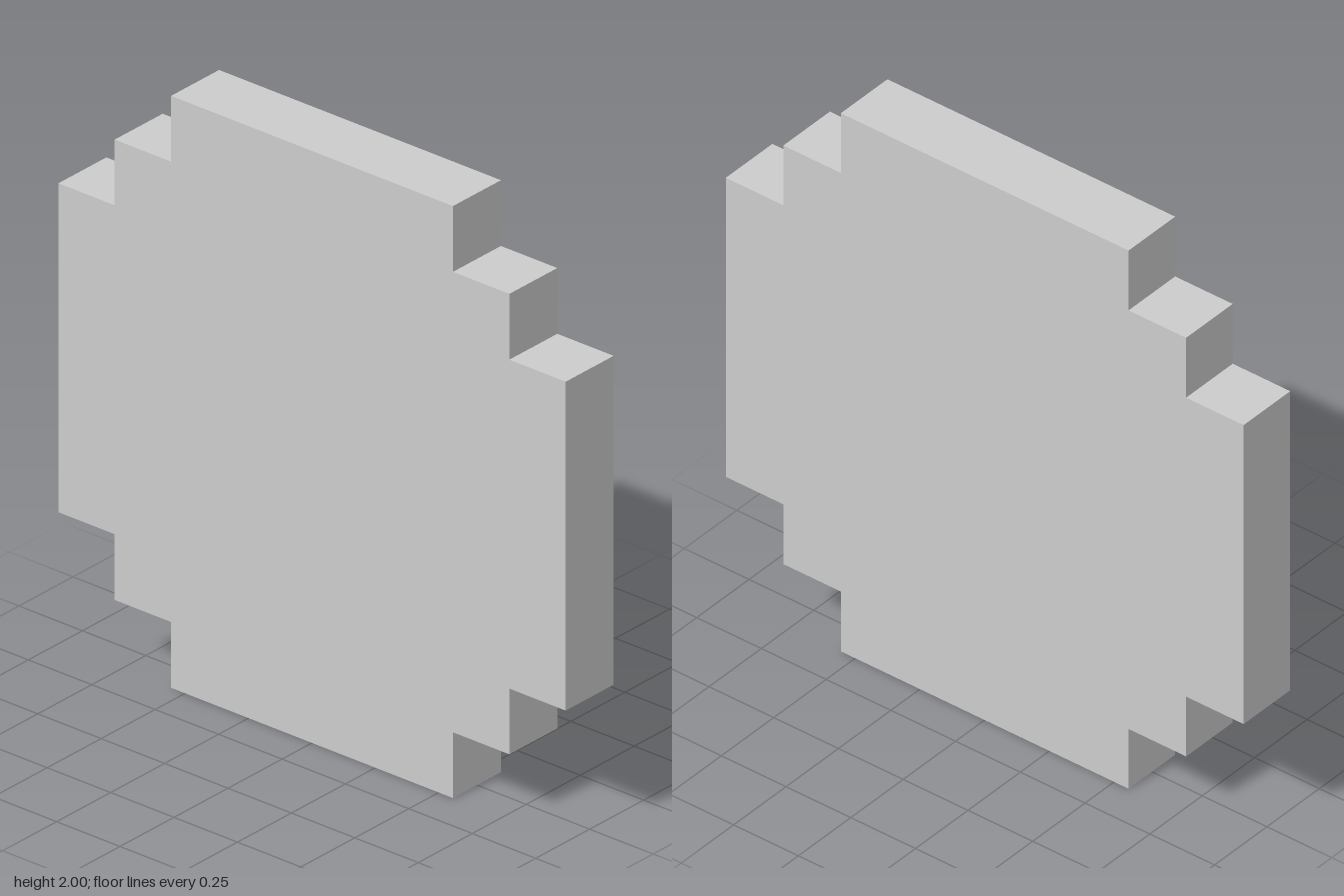
import * as THREE from 'three';

export function createModel() {
  const group = new THREE.Group();
  group.name = 'steppedDisc';

  const lightGrey = new THREE.MeshStandardMaterial({ color: 0xcccccc });
  lightGrey.name = 'lightGrey';

  // One pixel of the blocky circle is 2/9 wide
  const half = 1 / 9;

  // Stepped corner, mirrored into all four quadrants in counter-clockwise order
  const corner = [[9, 5], [7, 5], [7, 7], [5, 7], [5, 9]];
  const flipped = [...corner].reverse();
  const outline = [
    ...corner,
    ...flipped.map(([x, y]) => [-x, y]),
    ...corner.map(([x, y]) => [-x, -y]),
    ...flipped.map(([x, y]) => [x, -y]),
  ].map(([x, y]) => new THREE.Vector2(x * half, y * half + 1));

  // Slab one pixel thick, centred on z = 0
  const geometry = new THREE.ExtrudeGeometry(new THREE.Shape(outline), {
    depth: 2 * half,
    bevelEnabled: false,
  });
  geometry.translate(0, 0, -half);

  const disc = new THREE.Mesh(geometry, lightGrey);
  disc.name = 'disc';
  group.add(disc);
  return group;
}
